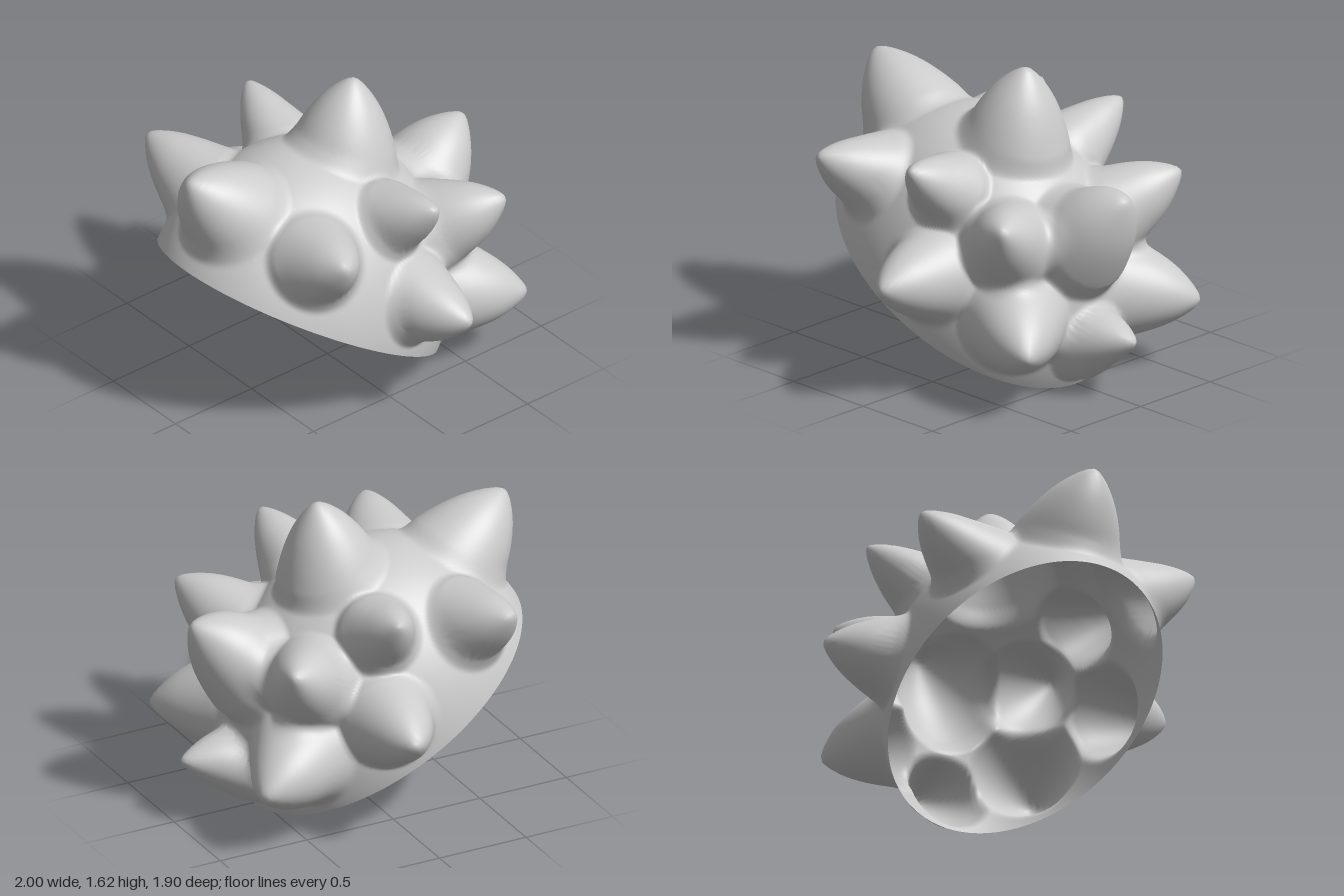
import * as THREE from 'three';
import { mergeVertices } from 'three/addons/utils/BufferGeometryUtils.js';

const CENTRE = new THREE.Vector3(0, 0.46, 0.195); // middle of the rim
const TILT = -0.555;                              // cap leans backwards
const RADII = [0.69, 0.86, 0.86];                 // half width, height, half length

// Spike tip, shift of its base and width; those off the middle are mirrored
const SPIKES = [
  { tip: [0, 1.63, -0.18], shift: [0, 0, -0.06], width: 0.28 },          // crown
  { tip: [0, 1.455, 0.91], shift: [0, 0.03, -0.05], width: 0.28 },       // front
  { tip: [0.8, 1.18, 0.53], shift: [0, 0.04, 0.02], width: 0.26 },       // front sides
  { tip: [1.0, 0.67, -0.13], shift: [0, 0.02, -0.04], width: 0.28 },     // sides
  { tip: [0.76, 1.25, -0.1], shift: [0, 0.02, -0.04], width: 0.22 },     // upper sides
  { tip: [0.64, 1.03, -0.65], shift: [0, -0.05, 0], width: 0.24 },       // upper back sides
  { tip: [0.62, 0.37, -0.81], shift: [0.06, 0.02, 0], width: 0.27 },     // lower back sides
  { tip: [0, 1.1, -0.9], shift: [0, -0.1, -0.03], width: 0.27 },         // upper back
  { tip: [0, 0.34, -0.96], shift: [0, -0.1, 0.06], width: 0.22 },        // lower back
];

// Spikes in the frame of the untilted dome, each standing about square on its surface
function makeSpikes() {
  const spikes = [];
  const tiltAxis = new THREE.Vector3(1, 0, 0);
  for (const { tip, shift, width } of SPIKES) {
    for (const side of tip[0] ? [1, -1] : [1]) {
      const mirror = new THREE.Vector3(side, 1, 1);
      const point = new THREE.Vector3(...tip).multiply(mirror).sub(CENTRE).applyAxisAngle(tiltAxis, -TILT);
      const offset = new THREE.Vector3(...shift).multiply(mirror).applyAxisAngle(tiltAxis, -TILT);
      const normal = new THREE.Vector3(...point.toArray().map((v, i) => v / RADII[i] ** 2)).normalize();
      const base = point.clone().addScaledVector(normal, -0.38).add(offset).normalize();
      spikes.push({ length: point.length(), axis: point.normalize(), base, width });
    }
  }
  return spikes;
}

// Distance to a spike's surface along dir: a rounded cone leaning from base to tip
function spikeReach({ length, axis, base, width }, dir) {
  const core = new THREE.Vector3();
  let fall = 0;
  for (let n = 0; n < 8; n++) {
    core.lerpVectors(axis, base, Math.min(fall / 0.35, 1));
    const s = dir.angleTo(core) / width;
    fall = 0.3 * (Math.hypot(s, 0.1) - 0.1) + 0.06 * s ** 4;
  }
  return length - fall;
}

// Larger of two distances with a soft fillet where they meet
function smoothMax(a, b, k) {
  const h = Math.max(k - Math.abs(a - b), 0) / k;
  return Math.max(a, b) + h * h * k * 0.25;
}

export function createModel() {
  const model = new THREE.Group();
  const spikes = makeSpikes();

  // Open half ellipsoid pushed outwards into spikes
  let geometry = new THREE.SphereGeometry(1, 240, 100, 0, Math.PI * 2, 0, Math.PI / 2);
  geometry.deleteAttribute('uv');
  geometry.deleteAttribute('normal');
  geometry = mergeVertices(geometry, 1e-5);
  const pos = geometry.attributes.position;
  const dir = new THREE.Vector3();
  for (let i = 0; i < pos.count; i++) {
    dir.fromBufferAttribute(pos, i).normalize();
    const dome = 1 / Math.hypot(dir.x / RADII[0], dir.y / RADII[1], dir.z / RADII[2]);
    let r = dome;
    for (const spike of spikes) r = smoothMax(r, spikeReach(spike, dir), 0.22);
    // keep the rim a clean ellipse
    r = THREE.MathUtils.lerp(dome, r, THREE.MathUtils.smoothstep(dir.y, 0, 0.08));
    dir.multiplyScalar(r);
    pos.setXYZ(i, dir.x, dir.y, dir.z);
  }
  geometry.computeVertexNormals();

  const cap = new THREE.Mesh(
    geometry,
    new THREE.MeshStandardMaterial({ color: 0xcccccc, side: THREE.DoubleSide })
  );
  cap.name = 'spikyCap';
  cap.rotation.x = TILT;
  cap.position.copy(CENTRE);
  model.add(cap);
  return model;
}
